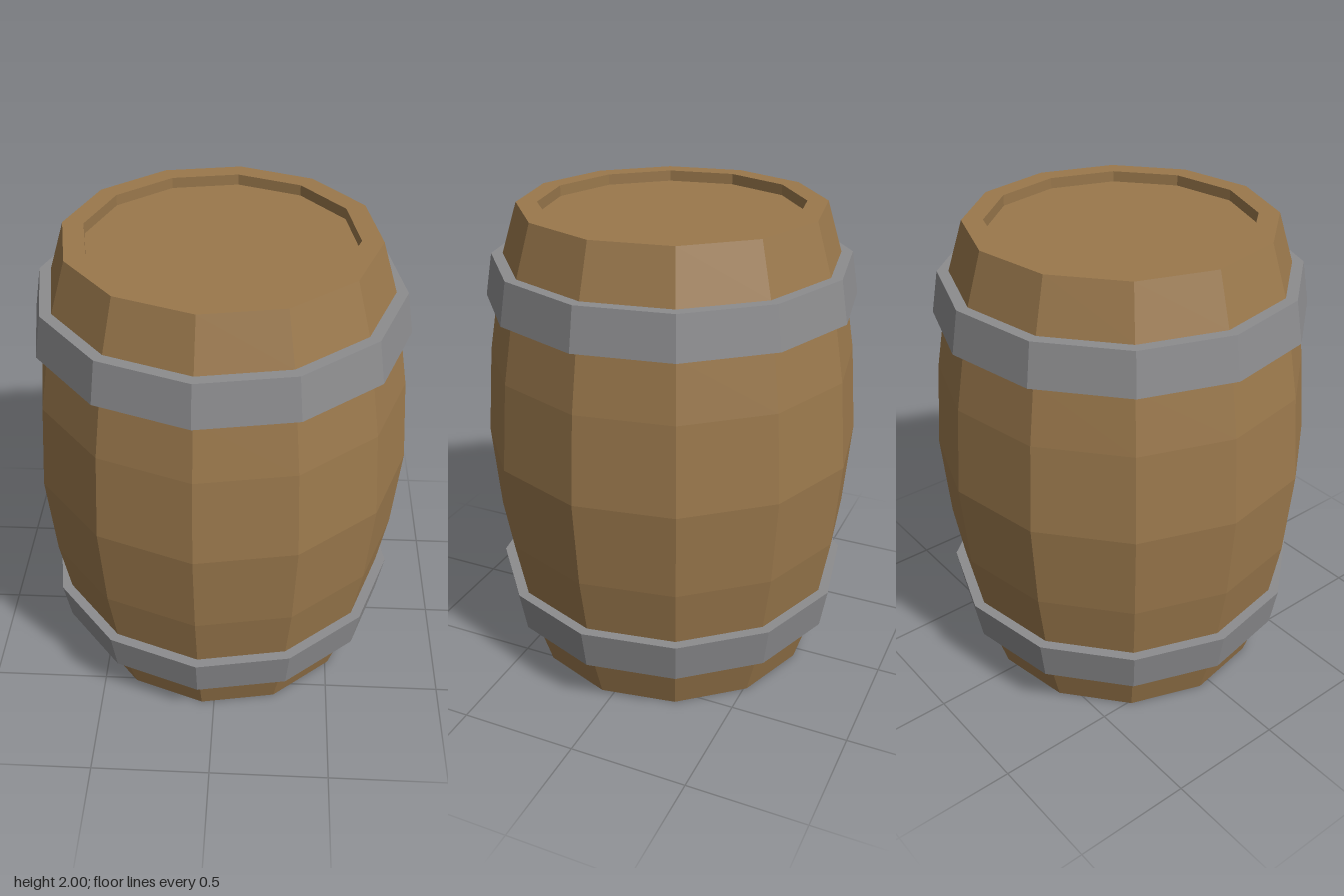
import * as THREE from 'three';

const SIDES = 12;
const TURN = THREE.MathUtils.degToRad(25);

const wood = new THREE.MeshStandardMaterial({ color: 0x9a784c, flatShading: true, side: THREE.DoubleSide });
wood.name = 'oak wood';
const metal = new THREE.MeshStandardMaterial({ color: 0x8c8c8e, flatShading: true, side: THREE.DoubleSide });
metal.name = 'grey iron';

// Faceted shell turned from a list of [radius, height] points
function turned(name, profile, material) {
  const points = profile.map(([r, y]) => new THREE.Vector2(r, y));
  const geometry = new THREE.LatheGeometry(points, SIDES, TURN).toNonIndexed();
  geometry.computeVertexNormals();
  const mesh = new THREE.Mesh(geometry, material);
  mesh.name = name;
  return mesh;
}

// Same profile upside down, kept in bottom-to-top order
const flip = (profile) => profile.map(([r, y]) => [r, 2 - y]).reverse();

export function createModel() {
  const barrel = new THREE.Group();
  barrel.name = 'barrel';

  const endStaves = [[0.625, 0], [0.69, 0.21]];
  const hoop = [[0.69, 0.21], [0.737, 0.21], [0.767, 0.385], [0.723, 0.385]];
  const lowerBulge = [[0.723, 0.385], [0.765, 0.63]];

  // Staves: open at the bottom, bulging in the middle
  barrel.add(turned('lowerStaves', endStaves, wood));
  barrel.add(turned('middleStaves', [...lowerBulge, [0.795, 1], ...flip(lowerBulge)], wood));
  barrel.add(turned('upperStaves', flip(endStaves), wood));

  // Hoops bridging the stave sections
  barrel.add(turned('lowerHoop', hoop, metal));
  barrel.add(turned('upperHoop', flip(hoop), metal));

  // Rim and recessed lid
  barrel.add(turned('rim', [[0.625, 2], [0.54, 2], [0.54, 1.955]], wood));
  barrel.add(turned('lid', [[0.54, 1.955], [0, 1.955]], wood));

  return barrel;
}
